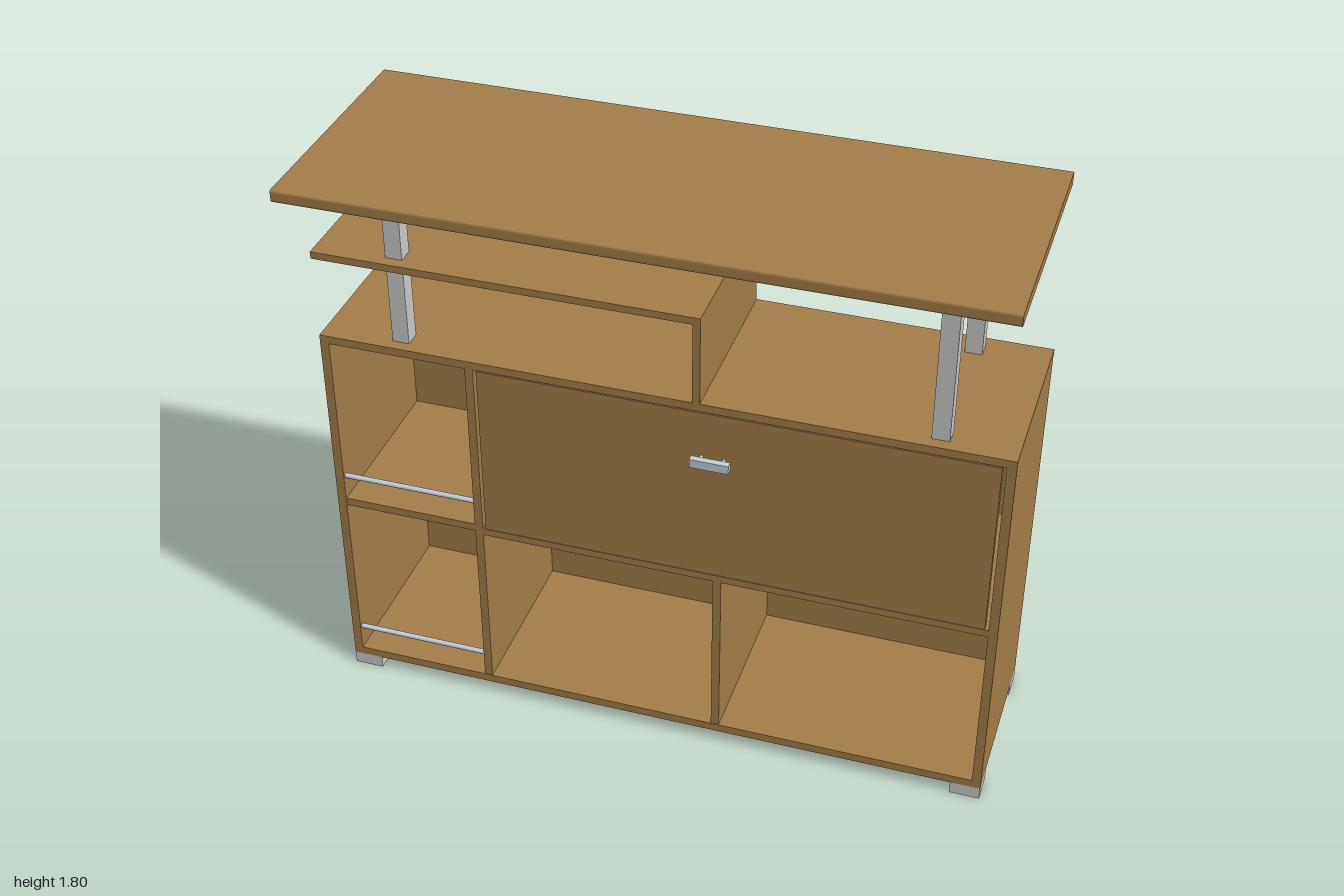
import * as THREE from 'three';

export function createModel() {
  const model = new THREE.Group();
  model.name = 'sideboard';
  const mat = (name, color) => {
    const m = new THREE.MeshStandardMaterial({ color });
    m.name = name;
    return m;
  };
  const wood = mat('wood', 0xa57d4a);
  const grey = mat('light grey', 0xcbcbcb);
  const steel = mat('steel', 0xc6d0db);

  const add = (name, geometry, material) => {
    const mesh = new THREE.Mesh(geometry, material);
    mesh.name = name;
    model.add(mesh);
    return mesh;
  };
  // Box given by its limits on each axis
  const box = (name, [x0, x1], [y0, y1], [z0, z1], material = wood) => {
    const mesh = add(name, new THREE.BoxGeometry(x1 - x0, y1 - y0, z1 - z0), material);
    mesh.position.set((x0 + x1) / 2, (y0 + y1) / 2, (z0 + z1) / 2);
    return mesh;
  };

  const full = [-0.37, 0.19];
  const side = [-0.366, 0.19];
  const inner = [-0.346, 0.188];

  // Cabinet shell
  box('bottomBoard', [-1, 1], [0.04, 0.066], full);
  box('topBoard', [-1, 1], [1.208, 1.233], full);
  box('rightSide', [-1, -0.973], [0.066, 1.208], side);
  box('leftSide', [0.973, 1], [0.066, 1.208], side);
  box('backPanel', [-0.973, 0.973], [0.066, 1.2], [-0.36, -0.346]);

  // Partitions and shelves
  box('mainDivider', [-0.56, -0.535], [0.066, 1.208], inner);
  box('bottleShelf', [-0.973, -0.56], [0.63, 0.655], inner);
  box('middleShelf', [-0.535, 0.973], [0.62, 0.643], inner);
  box('lowerDivider', [0.172, 0.197], [0.066, 0.62], inner);

  // Drop-down door and its pull
  box('door', [-0.526, 0.962], [0.645, 1.203], [0.163, 0.188]);
  for (const x of [0.135, 0.2]) {
    const stem = add('handleStem', new THREE.CylinderGeometry(0.005, 0.005, 0.03, 10), steel);
    stem.rotation.x = Math.PI / 2;
    stem.position.set(x, 1.057, 0.2);
  }
  box('handleBar', [0.112, 0.225], [1.044, 1.071], [0.21, 0.23], steel);

  // Guard rails of the open bays
  for (const y of [0.144, 0.732]) {
    const rail = add('guardRail', new THREE.CylinderGeometry(0.008, 0.008, 0.413, 16), steel);
    rail.rotation.z = Math.PI / 2;
    rail.position.set(-0.7665, y, 0.176);
  }

  // Raised shelf on the right
  box('raisedShelf', [-1, 0.13], [1.485, 1.507], full);
  box('raisedShelfSupport', [0.108, 0.13], [1.233, 1.485], side);

  // Counter top with a softened front edge
  const r = 0.008, y0 = 1.76, y1 = 1.797, z0 = -0.37, z1 = 0.37;
  const profile = new THREE.Shape();
  profile.moveTo(-z0, y0);
  profile.lineTo(-z0, y1);
  profile.lineTo(-z1 + r, y1);
  profile.quadraticCurveTo(-z1, y1, -z1, y1 - r);
  profile.lineTo(-z1, y0 + r);
  profile.quadraticCurveTo(-z1, y0, -z1 + r, y0);
  const counter = add('counterTop', new THREE.ExtrudeGeometry(profile,
    { depth: 1.994, bevelEnabled: false, curveSegments: 4 }), wood);
  counter.rotation.y = Math.PI / 2;
  counter.position.x = -0.999;

  // Posts and feet
  for (const x of [-0.764, 0.787])
    for (const z of [0.13, -0.305])
      box('post', [x - 0.025, x + 0.025], [1.233, 1.76], [z - 0.025, z + 0.025], grey);
  for (const x of [-0.955, 0.955])
    for (const z of [0.146, -0.325])
      box('foot', [x - 0.045, x + 0.045], [0, 0.04], [z - 0.044, z + 0.044], grey);

  return model;
}
